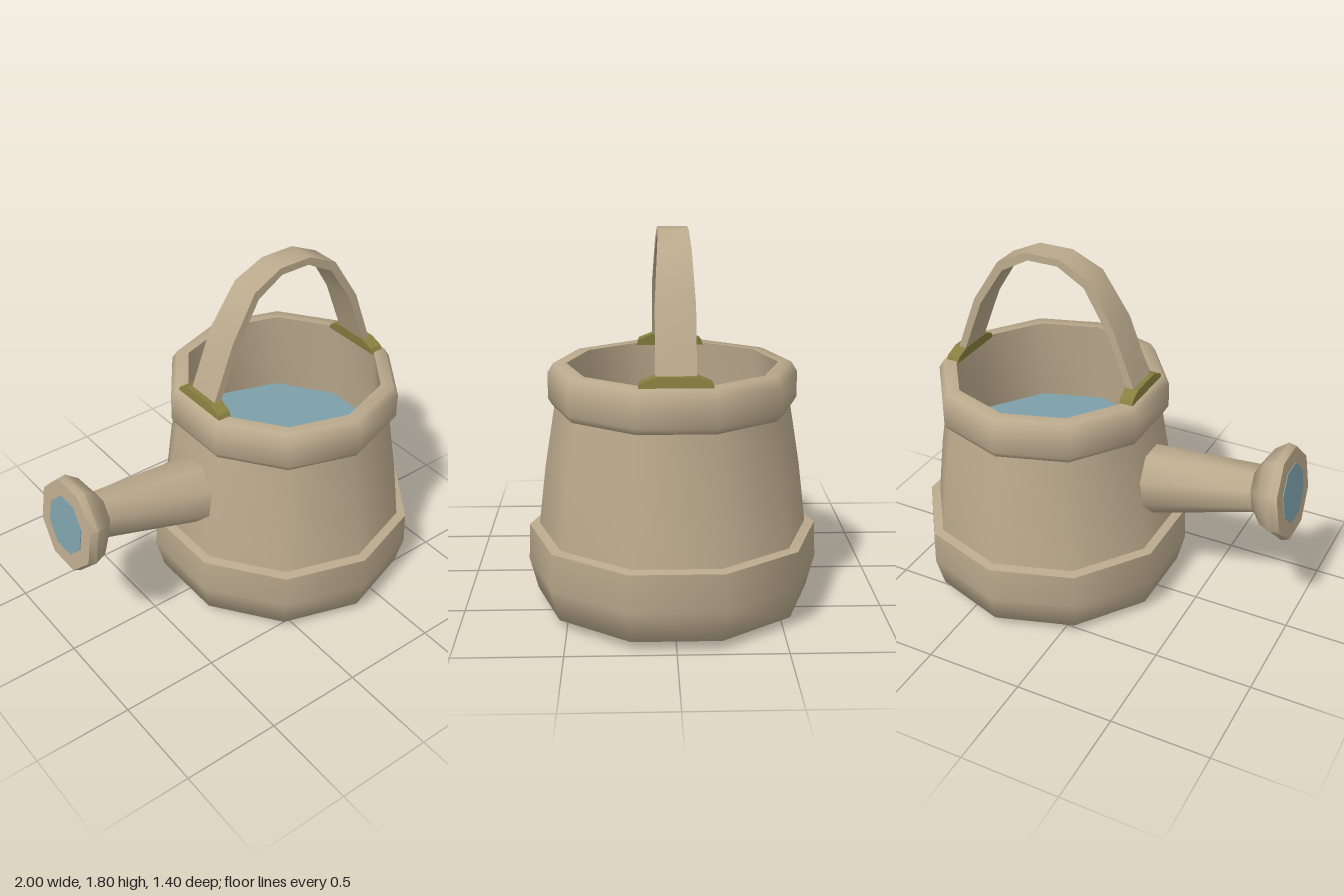
import * as THREE from 'three';
import { toCreasedNormals } from 'three/addons/utils/BufferGeometryUtils.js';

const CENTER_X = 0.33;

// Skin a list of rings (right-handed around the direction of travel), capping both ends.
function loft(rings, crease) {
  const pos = [];
  const tri = (a, b, c) => pos.push(...a, ...b, ...c);
  const n = rings[0].length;
  for (let k = 0; k < rings.length - 1; k++) {
    const a = rings[k], b = rings[k + 1];
    for (let i = 0; i < n; i++) {
      const j = (i + 1) % n;
      tri(a[i], a[j], b[j]);
      tri(a[i], b[j], b[i]);
    }
  }
  const first = rings[0], last = rings[rings.length - 1];
  for (let i = 1; i < n - 1; i++) {
    tri(first[0], first[i + 1], first[i]);
    tri(last[0], last[i], last[i + 1]);
  }
  const g = new THREE.BufferGeometry();
  g.setAttribute('position', new THREE.Float32BufferAttribute(pos, 3));
  return toCreasedNormals(g, crease);
}

// Eight-sided spout ring with flats at top and bottom; e is its half height.
function spoutRing(x, y, e, tilt) {
  const r = e / Math.cos(Math.PI / 8);
  return Array.from({ length: 8 }, (_, i) => {
    const a = (i + 0.5) * Math.PI / 4;
    const u = r * Math.cos(a);
    return [x + u * Math.sin(tilt), y + u * Math.cos(tilt), -r * Math.sin(a)];
  });
}

export function createModel() {
  const model = new THREE.Group();
  const clay = new THREE.MeshStandardMaterial({ name: 'clay tan', color: 0xbaa98c });
  const olive = new THREE.MeshStandardMaterial({ name: 'olive', color: 0x877f40 });
  const blue = new THREE.MeshStandardMaterial({ name: 'water blue', color: 0x7c9fa8 });
  const add = (name, geometry, material) => {
    const mesh = new THREE.Mesh(geometry, material);
    mesh.name = name;
    model.add(mesh);
    return mesh;
  };

  // Ten-sided can: base band, tapered wall, rim and inner wall
  const profile = [
    [0, 0], [0.55, 0.005], [0.66, 0.045], [0.70, 0.2], [0.693, 0.375], [0.645, 0.382],
    [0.61, 0.67], [0.56, 0.975], [0.572, 0.975], [0.59, 1.005], [0.59, 1.13],
    [0.562, 1.175], [0.50, 1.175], [0.54, 0.70],
  ].map(([r, y]) => new THREE.Vector2(r, y));
  const can = new THREE.LatheGeometry(profile, 10);
  add('can', toCreasedNormals(can, 1.1), clay).position.x = CENTER_X;

  // Water surface
  const water = new THREE.CircleGeometry(0.54, 10, Math.PI / 2);
  water.rotateX(-Math.PI / 2);
  add('water', water, blue).position.set(CENTER_X, 0.72, 0);

  // Spout tube and flared head
  const tilt = 0.14;
  add('spout', loft([
    spoutRing(-0.20, 0.67, 0.167, 0.18),
    spoutRing(-0.80, 0.79, 0.11, tilt),
  ], 0.9), clay);
  add('spoutHead', loft([
    spoutRing(-0.80, 0.79, 0.11, tilt),
    spoutRing(-0.866, 0.798, 0.188, tilt),
    spoutRing(-0.932, 0.81, 0.22, tilt),
    spoutRing(-0.97, 0.815, 0.21, tilt),
  ], 0.9), clay);

  // Blue opening plate on the head
  add('spoutOpening', loft([
    spoutRing(-0.968, 0.815, 0.135, tilt),
    spoutRing(-0.974, 0.816, 0.135, tilt),
  ], 0.5), blue);

  // Arched strap handle: outer x, y, inner x, y, half width (left half, then mirrored)
  const half = [
    [-0.18, 1.18, -0.14, 1.18, 0.09],
    [-0.055, 1.51, -0.018, 1.495, 0.09],
    [0.083, 1.73, 0.107, 1.69, 0.077],
    [0.24, 1.805, 0.25, 1.768, 0.07],
  ];
  const mirrored = half.map(([ox, oy, ix, iy, w]) =>
    [2 * CENTER_X - ox, oy, 2 * CENTER_X - ix, iy, w]).reverse();
  const strap = [...half, ...mirrored].map(([ox, oy, ix, iy, w]) =>
    [[ix, iy, -w], [ox, oy, -w], [ox, oy, w], [ix, iy, w]]);
  add('handle', loft(strap, 0.7), clay);

  // Brackets holding the handle on the rim
  const outline = new THREE.Shape([
    [-0.17, 1.165], [0.17, 1.165], [0.155, 1.195], [0.09, 1.222], [-0.09, 1.222], [-0.155, 1.195],
  ].map(([z, y]) => new THREE.Vector2(z, y)));
  for (const [side, name] of [[-1, 'rightBracket'], [1, 'leftBracket']]) {
    const g = new THREE.ExtrudeGeometry(outline, { depth: 0.068, bevelEnabled: false });
    g.translate(0, 0, -0.034);
    g.rotateY(Math.PI / 2);
    // lean the bracket inward with the strap
    const p = g.attributes.position;
    for (let i = 0; i < p.count; i++) {
      p.setX(i, p.getX(i) - side * (p.getY(i) - 1.165) * 0.12);
    }
    g.computeVertexNormals();
    add(name, g, olive).position.x = CENTER_X + side * 0.492;
  }

  return model;
}
